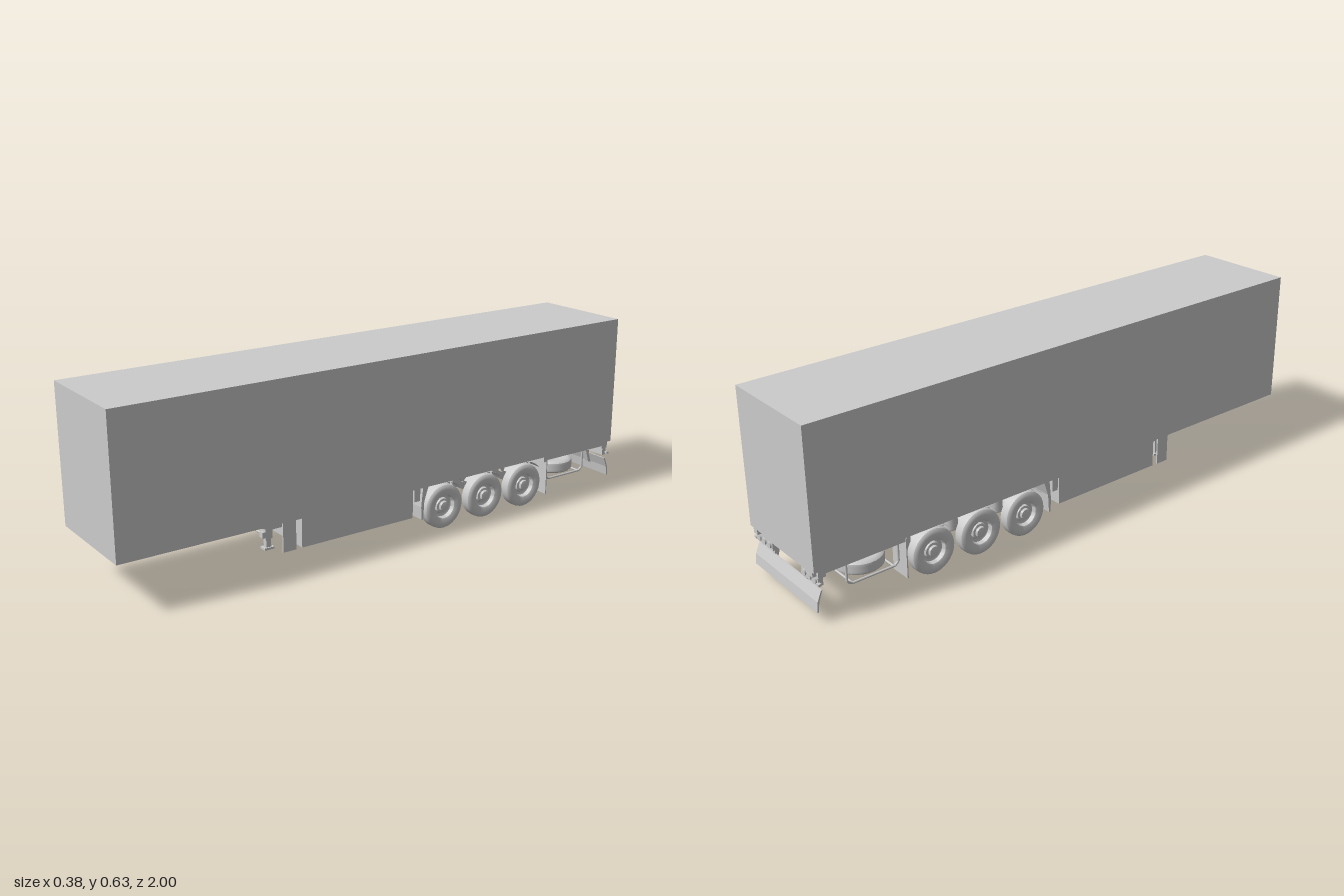
import * as THREE from 'three';
import { toCreasedNormals } from 'three/addons/utils/BufferGeometryUtils.js';

const grey = new THREE.MeshStandardMaterial({ color: 0xcccccc });
const greyDouble = new THREE.MeshStandardMaterial({ color: 0xcccccc, side: THREE.DoubleSide });
const FLOOR = 0.17;
const SIDES = [-1, 1];
const AXLES = [-0.21, -0.393, -0.576];
const WHEEL_R = 0.079;

export function createModel() {
  const root = new THREE.Group();
  root.name = 'boxSemiTrailer';

  const add = (name, geo, mat = grey, parent = root) => {
    const m = new THREE.Mesh(geo, mat);
    m.name = name;
    parent.add(m);
    return m;
  };
  // Box given by its limits on each axis
  const block = (name, x0, x1, y0, y1, z0, z1, parent = root) => {
    const m = add(name, new THREE.BoxGeometry(Math.abs(x1 - x0), y1 - y0, Math.abs(z1 - z0)), grey, parent);
    m.position.set((x0 + x1) / 2, (y0 + y1) / 2, (z0 + z1) / 2);
    return m;
  };
  // Round bar between two points
  const bar = (name, a, b, r, seg = 12) => {
    const p = new THREE.Vector3(...a), q = new THREE.Vector3(...b);
    const m = add(name, new THREE.CylinderGeometry(r, r, p.distanceTo(q), seg));
    m.position.copy(p).add(q).multiplyScalar(0.5);
    m.quaternion.setFromUnitVectors(new THREE.Vector3(0, 1, 0), q.sub(p).normalize());
    return m;
  };
  // Side profile of [z, y] points, given a width along x
  const plate = (name, pts, x, width) => {
    const shape = new THREE.Shape(pts.map(([z, y]) => new THREE.Vector2(-z, y)));
    const geo = new THREE.ExtrudeGeometry(shape, { depth: width, bevelEnabled: false });
    geo.translate(0, 0, -width / 2).rotateY(Math.PI / 2);
    const m = add(name, geo);
    m.position.x = x;
    return m;
  };

  // Cargo box
  block('cargoBox', -0.186, 0.186, FLOOR, 0.635, -1, 1);

  // Wheel: tyre, dished rim and hub in one turned profile; +y is the outer side
  const profile = [
    [0, -0.018], [0.03, -0.018], [0.04, -0.02], [0.044, -0.021], [0.062, -0.0225], [0.072, -0.021],
    [0.0775, -0.016], [WHEEL_R, -0.008], [WHEEL_R, 0.008], [0.0775, 0.016], [0.072, 0.021],
    [0.062, 0.0225], [0.046, 0.021], [0.042, 0.019], [0.039, 0.004], [0.029, 0.002],
    [0.026, 0.01], [0.019, 0.012], [0.017, 0.02], [0, 0.021],
  ].map(([r, y]) => new THREE.Vector2(r, y));
  const wheelGeo = toCreasedNormals(new THREE.LatheGeometry(profile, 36), 0.6);

  // Running gear
  for (const z of AXLES) {
    bar('axle', [-0.15, 0.08, z], [0.15, 0.08, z], 0.011, 16);
    for (const s of SIDES) {
      const wheel = add(s > 0 ? 'leftWheel' : 'rightWheel', wheelGeo);
      wheel.position.set(s * 0.16, WHEEL_R, z);
      wheel.rotation.z = -s * Math.PI / 2;
      bar('brakeDrum', [s * 0.118, 0.08, z], [s * 0.142, 0.08, z], 0.032, 20);
      plate('trailingArm', [[z + 0.085, 0.125], [z + 0.07, 0.132], [z + 0.01, 0.1], [z - 0.07, 0.085],
        [z - 0.07, 0.074], [z, 0.068], [z + 0.075, 0.108]], s * 0.095, 0.018);
      block('armHanger', s * 0.084, s * 0.106, 0.105, FLOOR, z + 0.06, z + 0.09);
      bar('airSpring', [s * 0.095, 0.085, z - 0.06], [s * 0.095, 0.15, z - 0.06], 0.024, 20);
      bar('shockAbsorber', [s * 0.075, 0.08, z - 0.01], [s * 0.075, 0.155, z + 0.04], 0.007);
      const arc = new THREE.CylinderGeometry(0.087, 0.087, 0.044, 20, 1, true, -0.85, 1.7);
      arc.rotateX(-Math.PI / 2).rotateY(Math.PI / 2);
      // Turn the arc so that it sits over the tyre
      const fender = add('fender', arc, greyDouble);
      fender.position.set(s * 0.16, 0.08, z);
    }
  }

  // Chassis rails and crossmembers
  for (const s of SIDES) {
    block('chassisRail', s * 0.085, s * 0.102, 0.143, FLOOR, -0.98, 0.47);
    block('sideRail', s * 0.165, s * 0.182, 0.155, FLOOR, -0.98, -0.68);
    plate('neckGusset', [[0.56, FLOOR], [0.5, 0.155], [0.47, 0.143], [0.38, 0.143], [0.38, FLOOR]], s * 0.136, 0.032);
  }
  for (const z of [0.47, -0.115, -0.3, -0.485, -0.68, -0.93])
    block('crossmember', -0.086, 0.086, 0.145, FLOOR, z - 0.006, z + 0.006);

  // Kingpin
  bar('kingpin', [0, 0.153, 0.76], [0, FLOOR, 0.76], 0.006);
  bar('kingpinFlange', [0, 0.153, 0.76], [0, 0.157, 0.76], 0.008);

  // Landing gear
  for (const s of SIDES) {
    block('landingLegOuter', s * 0.1, s * 0.122, 0.1, FLOOR, 0.442, 0.468);
    block('landingLegInner', s * 0.103, s * 0.119, 0.07, 0.105, 0.446, 0.464);
    block('landingFoot', s * 0.098, s * 0.124, 0.064, 0.071, 0.437, 0.473);
    block('legGearbox', s * 0.101, s * 0.121, 0.105, 0.125, 0.465, 0.478);
    bar('legBrace', [s * 0.111, 0.12, 0.455], [s * 0.111, 0.165, 0.395], 0.004, 8);
    // Narrow skirt beside the leg
    block('legSkirt', s * 0.178, s * 0.183, 0.07, FLOOR, 0.392, 0.44);
    block('skirtPost', s * 0.165, s * 0.178, 0.075, 0.155, 0.405, 0.42);
  }
  bar('landingCrossShaft', [-0.11, 0.104, 0.455], [0.11, 0.104, 0.455], 0.004);

  // Pallet locker under the floor
  block('palletLocker', -0.182, 0.182, 0.07, FLOOR, -0.07, 0.37);

  // Splash guards before and behind the wheels
  for (const s of SIDES) {
    block('skirtEnd', s * 0.178, s * 0.183, 0.125, FLOOR, -0.1, -0.076);
    plate('frontSplashGuard', [[-0.108, 0.055], [-0.105, 0.1], [-0.112, FLOOR], [-0.135, FLOOR], [-0.118, 0.12],
      [-0.114, 0.055]], s * 0.145, 0.076);
    block('rearMudflap', s * 0.107, s * 0.183, 0.026, 0.165, -0.682, -0.678);
    block('mudflapBracket', s * 0.107, s * 0.183, 0.15, FLOOR, -0.678, -0.665);
  }

  // Two spare wheels lying in a tube cradle
  for (const s of SIDES) {
    const spare = add('spareWheel', wheelGeo);
    spare.position.set(s * 0.086, 0.102, -0.79);
    spare.rotation.x = Math.PI;
  }
  for (const x of [-0.16, -0.06, 0.06, 0.16]) {
    const pts = [[-0.697, FLOOR], [-0.697, 0.085], [-0.71, 0.073], [-0.865, 0.073], [-0.88, 0.085], [-0.88, FLOOR]];
    const path = new THREE.CurvePath();
    for (let i = 1; i < pts.length; i++)
      path.add(new THREE.LineCurve3(new THREE.Vector3(x, pts[i - 1][1], pts[i - 1][0]), new THREE.Vector3(x, pts[i][1], pts[i][0])));
    add('spareCradleHoop', new THREE.TubeGeometry(path, 60, 0.004, 8, false));
  }
  for (const z of [-0.715, -0.862])
    bar('spareCradleBar', [-0.16, 0.073, z], [0.16, 0.073, z], 0.004, 8);

  // Rear underrun guard, brackets and lamps
  plate('rearBumper', [[-0.975, 0.105], [-0.98, 0.105], [-0.994, 0.07], [-0.998, 0.036], [-0.993, 0.036], [-0.988, 0.07]], 0, 0.364);
  block('rearLampBeam', -0.182, 0.182, 0.145, FLOOR, -0.985, -0.96);
  for (const s of SIDES) {
    plate('bumperBracket', [[-0.955, FLOOR], [-0.98, FLOOR], [-0.978, 0.1], [-0.989, 0.065], [-0.975, 0.07], [-0.96, 0.12]], s * 0.094, 0.016);
    block('lampHousing', s * 0.085, s * 0.178, 0.118, 0.148, -0.985, -0.968);
    for (let i = 0; i < 3; i++) {
      const x = s * (0.102 + i * 0.03);
      bar('rearLamp', [x, 0.133, -0.985], [x, 0.133, -0.99], 0.011, 16);
    }
    block('markerLampArm', s * 0.176, s * 0.189, 0.123, 0.131, -0.99, -0.98);
    block('dockBuffer', s * 0.15, s * 0.172, 0.15, 0.168, -0.998, -0.985);
  }
  return root;
}
